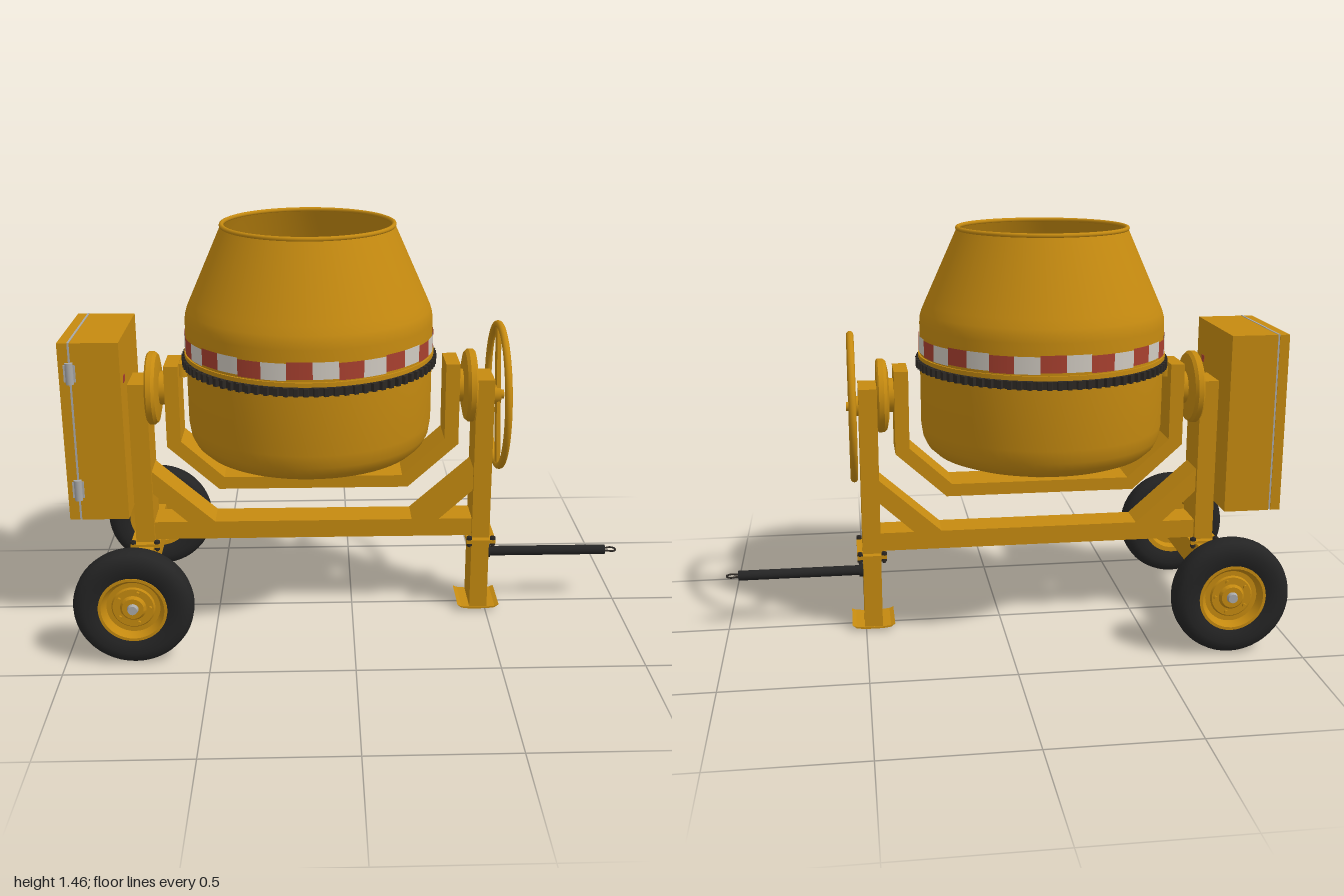
import * as THREE from 'three';
import { toCreasedNormals } from 'three/addons/utils/BufferGeometryUtils.js';

const mat = (name, color, side = THREE.FrontSide) => {
  const m = new THREE.MeshStandardMaterial({ color, side });
  m.name = name;
  return m;
};

export function createModel() {
  const yellow = mat('yellow paint', 0xc58a10);
  const rubber = mat('black rubber', 0x242424);
  const iron = mat('dark iron', 0x2c2824);
  const steel = mat('steel', 0xa9a9a9);
  const white = mat('reflective white', 0xcfc9c0, THREE.DoubleSide);
  const red = mat('reflective red', 0xa8402f, THREE.DoubleSide);

  const model = new THREE.Group();
  model.name = 'cementMixer';

  const add = (name, geo, material, x = 0, y = 0, z = 0, parent = model) => {
    const m = new THREE.Mesh(geo, material);
    m.name = name;
    m.position.set(x, y, z);
    parent.add(m);
    return m;
  };
  // box given by its limits on each axis
  const box = (name, material, [x0, x1], [y0, y1], [z0, z1]) =>
    add(name, new THREE.BoxGeometry(x1 - x0, y1 - y0, z1 - z0), material,
      (x0 + x1) / 2, (y0 + y1) / 2, (z0 + z1) / 2);
  // cylinder along x
  const rodX = (name, material, x0, x1, r, y, z = 0, rEnd = r) =>
    add(name, new THREE.CylinderGeometry(rEnd, r, x1 - x0, 32).rotateZ(-Math.PI / 2), material, (x0 + x1) / 2, y, z);
  // xy outline extruded symmetrically in z
  const slab = (points, depth) =>
    new THREE.ExtrudeGeometry(new THREE.Shape(points.map(p => new THREE.Vector2(...p))),
      { depth, bevelEnabled: false }).translate(0, 0, -depth / 2);
  const lathe = (points, seg = 64, crease = 0.6) =>
    toCreasedNormals(new THREE.LatheGeometry(points.map(p => new THREE.Vector2(...p)), seg), crease);

  // ---- drum ----
  const drum = new THREE.Group();
  drum.name = 'drum';
  drum.position.x = -0.15;
  model.add(drum);
  add('drumShell', lathe([
    [0, 0.59], [0.1, 0.595], [0.25, 0.625], [0.35, 0.648], [0.385, 0.662], [0.41, 0.685], [0.425, 0.715],
    [0.432, 0.76], [0.433, 1.12], [0.431, 1.145], [0.425, 1.165], [0.412, 1.195], [0.298, 1.45],
    [0.288, 1.45], [0.4, 1.195], [0.42, 1.13], [0.42, 0.74], [0.39, 0.685], [0.34, 0.66], [0.1, 0.607], [0, 0.605],
  ]), yellow, 0, 0, 0, drum);
  add('drumLip', new THREE.TorusGeometry(0.296, 0.008, 8, 64).rotateX(Math.PI / 2), yellow, 0, 1.45, 0, drum);
  add('drumFlange', new THREE.CylinderGeometry(0.439, 0.439, 0.012, 64, 1), yellow, 0, 1.008, 0, drum).visible = true;
  drum.children[2].geometry = lathe([[0.425, 1.0], [0.439, 1.0], [0.439, 1.014], [0.425, 1.014]]);
  drum.children[2].position.y = 0;
  add('drumBase', new THREE.CylinderGeometry(0.09, 0.09, 0.03, 40), yellow, 0, 0.582, 0, drum);
  add('drumPivot', new THREE.CylinderGeometry(0.037, 0.037, 0.075, 24), yellow, 0, 0.535, 0, drum);

  // reflective band of alternating blocks
  const blocks = 32, step = Math.PI * 2 / blocks;
  for (let i = 0; i < blocks; i++) {
    add(i % 2 ? 'whiteBlock' : 'redBlock',
      new THREE.CylinderGeometry(0.4365, 0.4365, 0.058, 3, 1, true, Math.PI / 2 - 0.07 + (i - 0.5) * step, step),
      i % 2 ? white : red, 0, 1.05 + (i % 4 < 2 ? 0.003 : -0.002), 0, drum);
  }

  // ring gear
  const teeth = 84, gearShape = new THREE.Shape();
  for (let i = 0; i < teeth; i++) {
    [[0, 0.437], [0.4, 0.437], [0.5, 0.449], [0.9, 0.449]].forEach(([f, r], k) => {
      const a = (i + f) / teeth * Math.PI * 2;
      gearShape[i + k === 0 ? 'moveTo' : 'lineTo'](r * Math.cos(a), r * Math.sin(a));
    });
  }
  gearShape.holes.push(new THREE.Path().absarc(0, 0, 0.425, 0, Math.PI * 2, true));
  add('ringGear', new THREE.ExtrudeGeometry(gearShape, { depth: 0.028, bevelEnabled: false, curveSegments: 32 })
    .rotateX(-Math.PI / 2), iron, 0, 0.969, 0, drum);

  // ---- tilting yoke ----
  add('yoke', slab([
    [-0.66, 0.965], [-0.66, 0.668], [-0.48, 0.505], [0.2, 0.505], [0.38, 0.668], [0.38, 0.965],
    [0.33, 0.965], [0.33, 0.687], [0.18, 0.55], [-0.46, 0.55], [-0.61, 0.687], [-0.61, 0.965],
  ], 0.15), yellow);
  add('pinion', new THREE.CylinderGeometry(0.03, 0.03, 0.05, 20), yellow, -0.605, 0.937, 0);

  // domed bearing discs and their hubs on both sides
  for (const [cx, s] of [[-0.725, 1], [0.44, -1]]) {
    const disc = add('bearingDisc', lathe([[0, 0], [0.125, 0], [0.131, 0.006], [0.131, 0.024], [0.122, 0.035], [0.09, 0.042], [0, 0.045]], 40),
      yellow, cx, 0.866, 0);
    disc.rotation.z = -s * Math.PI / 2;
    const a = cx + s * 0.03, b = cx + s * 0.075;
    rodX('bearingHub', yellow, Math.min(a, b), Math.max(a, b), 0.06, 0.866);
  }

  // ---- frame ----
  box('mainBeam', yellow, [-0.73, 0.445], [0.303, 0.37], [-0.06, 0.06]);
  box('leftPost', yellow, [-0.79, -0.722], [0.28, 0.9], [-0.075, 0.075]);
  box('rightPost', yellow, [0.44, 0.505], [0.015, 0.905], [-0.075, 0.075]);
  const brace = [[0, 0.57], [0.23, 0.365], [0.13, 0.365], [0, 0.485]];
  add('leftBrace', slab(brace.map(([x, y]) => [-0.725 + x, y]).reverse(), 0.12), yellow);
  add('rightBrace', slab(brace.map(([x, y]) => [0.443 - x, y]), 0.12), yellow);
  add('footPlate', slab([
    [0.395, 0.026], [0.41, 0.014], [0.44, 0.01], [0.505, 0.01], [0.535, 0.014], [0.55, 0.026],
    [0.535, 0.02], [0.505, 0.017], [0.44, 0.017], [0.41, 0.02],
  ], 0.16), yellow);

  // bolted flanges at the foot of each post
  for (const cx of [-0.756, 0.4725]) {
    box('flange', yellow, [cx - 0.053, cx + 0.053], [0.286, 0.299], [-0.1, 0.1]);
    for (const sx of [-1, 1]) for (const sz of [-1, 1]) {
      add('boltShank', new THREE.CylinderGeometry(0.006, 0.006, 0.042, 8), iron, cx + sx * 0.043, 0.291, sz * 0.09);
      add('boltHead', new THREE.CylinderGeometry(0.011, 0.011, 0.01, 6), iron, cx + sx * 0.043, 0.304, sz * 0.09);
      add('boltNut', new THREE.CylinderGeometry(0.011, 0.011, 0.01, 6), iron, cx + sx * 0.043, 0.281, sz * 0.09);
    }
  }

  // ---- axle and wheels ----
  add('axleBeam', slab([[-0.327, 0.17], [0.327, 0.17], [0.327, 0.255], [0.3, 0.29], [-0.3, 0.29], [-0.327, 0.255]], 0.066)
    .rotateY(Math.PI / 2), yellow, -0.757);
  add('axle', new THREE.CylinderGeometry(0.016, 0.016, 0.76, 20).rotateX(Math.PI / 2), yellow, -0.76, 0.208);
  const tyre = [[0.115, -0.038], [0.135, -0.046], [0.165, -0.049], [0.188, -0.044], [0.201, -0.032], [0.206, -0.014]];
  const tyreProfile = [...tyre, ...tyre.map(([r, y]) => [r, -y]).reverse(), tyre[0]];
  const rimProfile = [
    [0, -0.03], [0.03, -0.03], [0.035, -0.015], [0.09, -0.015], [0.1, -0.038], [0.118, -0.04],
    [0.118, 0.042], [0.108, 0.042], [0.1, 0.028], [0.092, 0.018], [0.075, 0.018], [0.07, 0.024], [0.045, 0.024], [0.037, 0.034], [0, 0.034],
  ];
  for (const s of [1, -1]) {
    const wheel = new THREE.Group();
    wheel.name = 'wheel';
    wheel.position.set(-0.76, 0.208, s * 0.39);
    wheel.rotation.x = s * Math.PI / 2;
    model.add(wheel);
    add('tyre', lathe(tyreProfile, 48, 0.9), rubber, 0, 0, 0, wheel);
    add('rim', lathe(rimProfile, 40), yellow, 0, 0, 0, wheel);
    add('hubCap', new THREE.CylinderGeometry(0.016, 0.02, 0.014, 20), steel, 0, 0.04, 0, wheel);
    for (let i = 0; i < 5; i++) {
      const a = i / 5 * Math.PI * 2;
      add('wheelNut', new THREE.CylinderGeometry(0.007, 0.007, 0.01, 6), yellow, 0.058 * Math.cos(a), 0.028, 0.058 * Math.sin(a), wheel);
    }
  }

  // ---- motor cabinet ----
  box('cabinetBody', yellow, [-0.953, -0.789], [0.447, 1.088], [-0.205, 0.203]);
  box('cabinetSeal', steel, [-0.96, -0.953], [0.449, 1.09], [-0.203, 0.204]);
  box('cabinetDoor', yellow, [-0.995, -0.96], [0.447, 1.088], [-0.205, 0.203]);
  for (const y of [0.983, 0.56]) {
    add('hinge', new THREE.CylinderGeometry(0.014, 0.014, 0.075, 16), steel, -0.958, y, 0.206);
    box('hingeLeaf', steel, [-0.978, -0.938], [y - 0.03, y + 0.03], [0.2, 0.207]);
  }
  rodX('doorLock', iron, -1, -0.99, 0.018, 0.81, -0.165);
  box('doorLatch', iron, [-1, -0.992], [0.79, 0.83], [-0.172, -0.158]);
  const label = new THREE.Shape();
  label.moveTo(-0.065, 0.06).lineTo(-0.065, -0.02);
  label.quadraticCurveTo(-0.06, -0.06, 0, -0.065).quadraticCurveTo(0.06, -0.06, 0.065, -0.02).lineTo(0.065, 0.06);
  add('doorPlate', new THREE.ExtrudeGeometry(label, { depth: 0.002, bevelEnabled: false }).rotateY(-Math.PI / 2),
    white, -0.995, 0.93, 0.07);
  box('warningPlate', red, [-0.789, -0.787], [0.93, 0.955], [0.115, 0.145]);

  // ---- tilting handwheel ----
  add('handwheelRim', new THREE.TorusGeometry(0.255, 0.013, 12, 64).rotateY(Math.PI / 2), yellow, 0.527, 0.828, 0);
  const spoke = add('handwheelSpoke', new THREE.BoxGeometry(0.014, 0.5, 0.05), yellow, 0.527, 0.828, 0);
  spoke.rotation.x = -0.205;
  rodX('handwheelShaft', yellow, 0.5, 0.535, 0.035, 0.83);
  rodX('handwheelNut', yellow, 0.53, 0.548, 0.016, 0.83);

  // ---- tow bar ----
  rodX('towBar', rubber, 0.5, 0.955, 0.018, 0.21);
  rodX('towBarCollar', rubber, 0.505, 0.52, 0.024, 0.21);
  const eye = new THREE.CatmullRomCurve3([
    [0.95, -0.012], [0.965, -0.013], [0.98, -0.018], [0.994, -0.01], [0.997, 0], [0.994, 0.01], [0.98, 0.018], [0.965, 0.013], [0.95, 0.012],
  ].map(([x, z]) => new THREE.Vector3(x, 0.21, z)));
  add('towEye', new THREE.TubeGeometry(eye, 32, 0.0035, 8), iron);

  return model;
}
